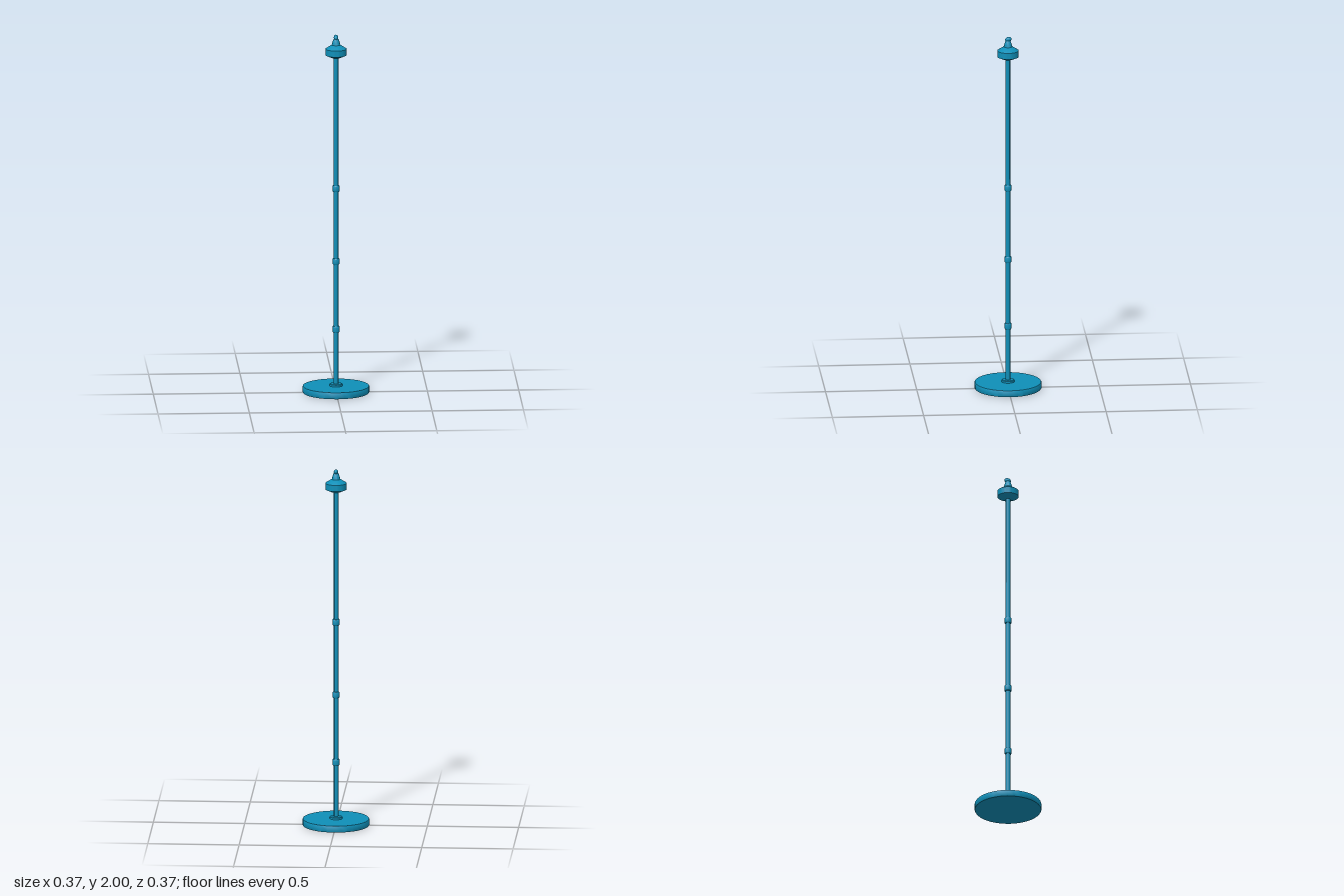
import * as THREE from 'three';
import { toCreasedNormals } from 'three/addons/utils/BufferGeometryUtils.js';

const material = new THREE.MeshStandardMaterial({ color: 0x0f8fb8 });

// Revolved part from [radius, height] pairs, listed bottom to top
function turned(name, profile, sides = 32) {
  const points = profile.map(([r, y]) => new THREE.Vector2(r, y));
  const geometry = toCreasedNormals(new THREE.LatheGeometry(points, sides), 0.6);
  const mesh = new THREE.Mesh(geometry, material);
  mesh.name = name;
  return mesh;
}

export function createModel() {
  const model = new THREE.Group();
  model.name = 'stanchionPost';

  // Round floor plate with a slightly eased rim
  model.add(turned('basePlate', [
    [0, 0], [0.181, 0], [0.183, 0.003], [0.183, 0.032], [0.181, 0.036], [0, 0.036],
  ]));

  // Collar where the pole meets the plate
  model.add(turned('baseCollar', [[0, 0.034], [0.035, 0.034], [0.035, 0.046], [0.031, 0.049], [0, 0.049]]));

  // Slim pole
  model.add(turned('pole', [[0, 0.04], [0.0125, 0.04], [0.0125, 1.89], [0, 1.89]], 24));

  // Joint rings between the pole sections
  for (const y of [0.353, 0.732, 1.14]) {
    model.add(turned('jointRing', [
      [0.012, y - 0.017], [0.017, y - 0.017], [0.0195, y - 0.013],
      [0.0195, y + 0.013], [0.017, y + 0.017], [0.012, y + 0.017],
    ], 24));
  }

  // Wide cap with a chamfered underside and conical top
  model.add(turned('cap', [
    [0, 1.872], [0.024, 1.872], [0.058, 1.887], [0.058, 1.922],
    [0.024, 1.944], [0, 1.944],
  ], 48));

  // Finial: conical neck and a rounded head leaning to the back
  model.add(turned('finialNeck', [[0.024, 1.942], [0.021, 1.955], [0.015, 1.973], [0.009, 1.984], [0, 1.988]], 24));
  const head = new THREE.Mesh(new THREE.SphereGeometry(1, 24, 16), material);
  head.name = 'finialHead';
  head.scale.set(0.0125, 0.0135, 0.0185);
  head.position.set(0, 1.985, -0.002);
  head.rotation.x = 0.35;
  model.add(head);

  return model;
}
